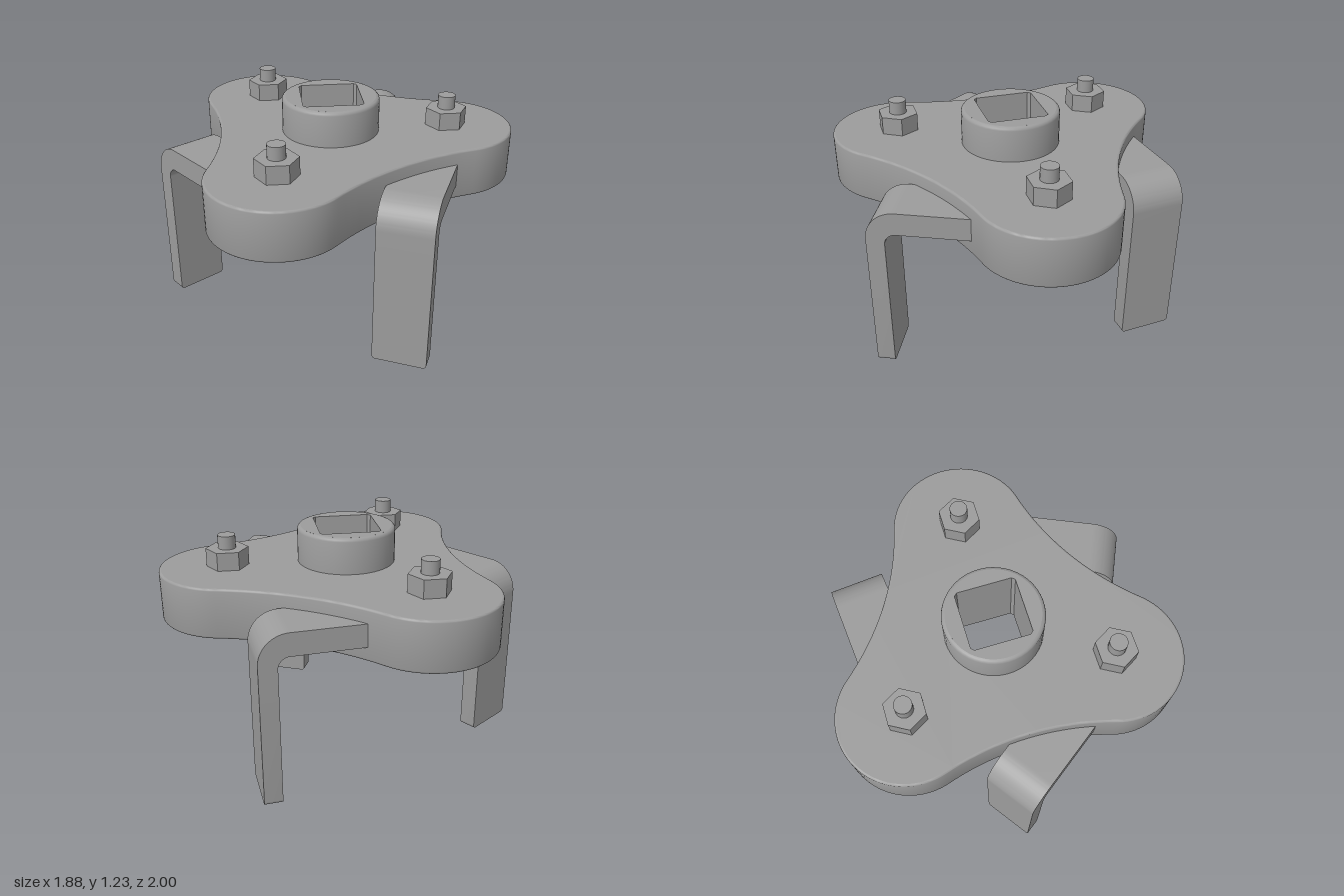
import * as THREE from 'three';
import { toCreasedNormals } from 'three/addons/utils/BufferGeometryUtils.js';

const BOLT_R = 0.655, LOBE_R = 0.372, VALLEY = 0.613;
const LOBES = [90, 210, 330].map(THREE.MathUtils.degToRad);

export function createModel() {
  const root = new THREE.Group();
  const body = new THREE.Group();
  body.name = 'tool';
  body.position.set(-0.004, 0, -0.029);
  root.add(body);
  const mat = new THREE.MeshStandardMaterial({ color: 0x9c9c9c });

  const add = (parent, name, geo, x = 0, y = 0, z = 0) => {
    const m = new THREE.Mesh(geo, mat);
    m.name = name;
    m.position.set(x, y, z);
    parent.add(m);
    return m;
  };
  // Extrude an (x, z) outline between two heights; caps stay flat, edges are rounded
  const slab = (shape, y0, y1, bevel) => {
    let g = new THREE.ExtrudeGeometry(shape, {
      depth: y1 - y0 - 2 * bevel, curveSegments: 48, bevelEnabled: bevel > 0,
      bevelSize: bevel, bevelThickness: bevel, bevelOffset: -bevel, bevelSegments: 3,
    });
    g.rotateX(Math.PI / 2).translate(0, y1 - bevel, 0);
    g = toCreasedNormals(g, 0.6);
    const p = g.attributes.position, n = g.attributes.normal;
    for (let i = 0; i < p.count; i += 3) {
      const ys = [0, 1, 2].map(k => p.getY(i + k));
      if (Math.max(...ys) - Math.min(...ys) > 1e-5) continue;
      const up = ys[0] > (y0 + y1) / 2 ? 1 : -1;
      for (let k = 0; k < 3; k++) n.setXYZ(i + k, 0, up, 0);
    }
    return g;
  };
  const lathe = (profile, segments) => toCreasedNormals(
    new THREE.LatheGeometry(profile.map(([r, y]) => new THREE.Vector2(r, y)), segments), 0.7);
  const arc = (pts, cx, cy, r, a0, a1, n) => {
    for (let i = 0; i < n; i++) {
      const a = a0 + (a1 - a0) * i / n;
      pts.push(new THREE.Vector2(cx + r * Math.cos(a), cy + r * Math.sin(a)));
    }
  };

  // Three-lobed plate: convex lobes joined by tangent concave arcs
  const half = BOLT_R * Math.sin(Math.PI / 3), gap = VALLEY - BOLT_R / 2;
  const valleyR = (half ** 2 + gap ** 2 - LOBE_R ** 2) / (2 * (LOBE_R - gap));
  const sweep = Math.atan2(half, gap + valleyR);   // half angle of a concave arc
  const turn = Math.PI / 3 + sweep;                // half angle of a lobe arc
  const outline = [];
  for (const a of LOBES) {
    arc(outline, BOLT_R * Math.cos(a), BOLT_R * Math.sin(a), LOBE_R, a - turn, a + turn, 36);
    const v = a + Math.PI / 3, d = VALLEY + valleyR;
    arc(outline, d * Math.cos(v), d * Math.sin(v), valleyR, v + Math.PI + sweep, v + Math.PI - sweep, 20);
  }
  const plate = new THREE.Shape(outline);
  plate.holes.push(new THREE.Path().absarc(0, 0, 0.25, 0, Math.PI * 2, true));
  add(body, 'plate', slab(plate, 0.754, 1.03, 0.012));

  // Hub: rounded collar around a core with a square drive hole, corners slightly cut
  add(body, 'hubCollar', lathe(
    [[0.27, 1.02], [0.27, 1.208], [0.267, 1.218], [0.26, 1.225], [0.25, 1.228]], 48));
  const core = new THREE.Shape().absarc(0, 0, 0.25, 0, Math.PI * 2, false);
  const hole = [];
  for (let i = 0; i < 4; i++) {
    for (const s of [0.05, -0.05]) {
      const a = THREE.MathUtils.degToRad(15 - i * 90) + s;
      hole.push(new THREE.Vector2(0.222 * Math.cos(a), 0.222 * Math.sin(a)));
    }
  }
  core.holes.push(new THREE.Path(hole));
  add(body, 'hubCore', slab(core, 0.757, 1.228, 0));

  // Bolts: threaded end, hex nut on top, domed socket head underneath
  const headGeo = lathe(
    [[0.048, 0.703], [0.075, 0.703], [0.095, 0.713], [0.105, 0.728], [0.11, 0.748], [0.11, 0.76]], 32);
  const socketGeo = new THREE.CylinderGeometry(0.048, 0.048, 0.05, 6, 1, true).toNonIndexed();
  socketGeo.computeVertexNormals();
  const nutGeo = toCreasedNormals(new THREE.CylinderGeometry(0.115, 0.115, 0.11, 6), 0.5);
  const endGeo = new THREE.CylinderGeometry(0.048, 0.048, 0.1, 24);
  const openMat = mat.clone();
  openMat.side = THREE.DoubleSide;
  for (const a of LOBES) {
    const bolt = new THREE.Group();
    bolt.name = 'bolt';
    bolt.position.set(BOLT_R * Math.cos(a), 0, BOLT_R * Math.sin(a));
    body.add(bolt);
    add(bolt, 'nut', nutGeo, 0, 1.075, 0);
    add(bolt, 'boltEnd', endGeo, 0, 1.153, 0);
    add(bolt, 'boltHead', headGeo).material = openMat;
    add(bolt, 'socket', socketGeo, 0, 0.728, 0).material = openMat;
  }

  // Hooked jaws: a bent arm leaving the plate and a flat leg down to the ground
  const OUT = 0.634, T = 0.098, W = 0.3, TOP = 0.955, UNDER = 0.83, JOIN = 0.7;
  const bend = new THREE.Shape();
  bend.moveTo(0.05, UNDER);
  bend.lineTo(OUT - T - 0.06, UNDER);
  bend.absarc(OUT - T - 0.06, UNDER - 0.06, 0.06, Math.PI / 2, 0, true);
  bend.lineTo(OUT - T, JOIN);
  bend.lineTo(OUT, JOIN);
  bend.lineTo(OUT, TOP - 0.16);
  bend.absarc(OUT - 0.16, TOP - 0.16, 0.16, 0, Math.PI / 2, false);
  bend.lineTo(0.05, TOP);
  const bendGeo = toCreasedNormals(
    new THREE.ExtrudeGeometry(bend, { depth: W, bevelEnabled: false, curveSegments: 14 }), 0.5);

  const c = 0.02, h = W / 2;
  const leg = new THREE.Shape();
  leg.moveTo(-h, JOIN);
  leg.lineTo(-h, c);
  leg.absarc(-h + c, c, c, Math.PI, Math.PI * 1.5, false);
  leg.absarc(h - c, c, c, Math.PI * 1.5, Math.PI * 2, false);
  leg.lineTo(h, JOIN);
  const legGeo = toCreasedNormals(
    new THREE.ExtrudeGeometry(leg, { depth: T, bevelEnabled: false, curveSegments: 5 })
      .rotateY(Math.PI / 2), 0.5);

  for (let i = 0; i < 3; i++) {
    const jaw = new THREE.Group();
    jaw.name = 'jaw';
    jaw.rotation.y = THREE.MathUtils.degToRad(-84.3 + i * 120);
    body.add(jaw);
    add(jaw, 'jawArm', bendGeo, 0, 0, -0.74);
    add(jaw, 'jawLeg', legGeo, OUT - T, 0, -0.74 + h);
  }
  return root;
}
